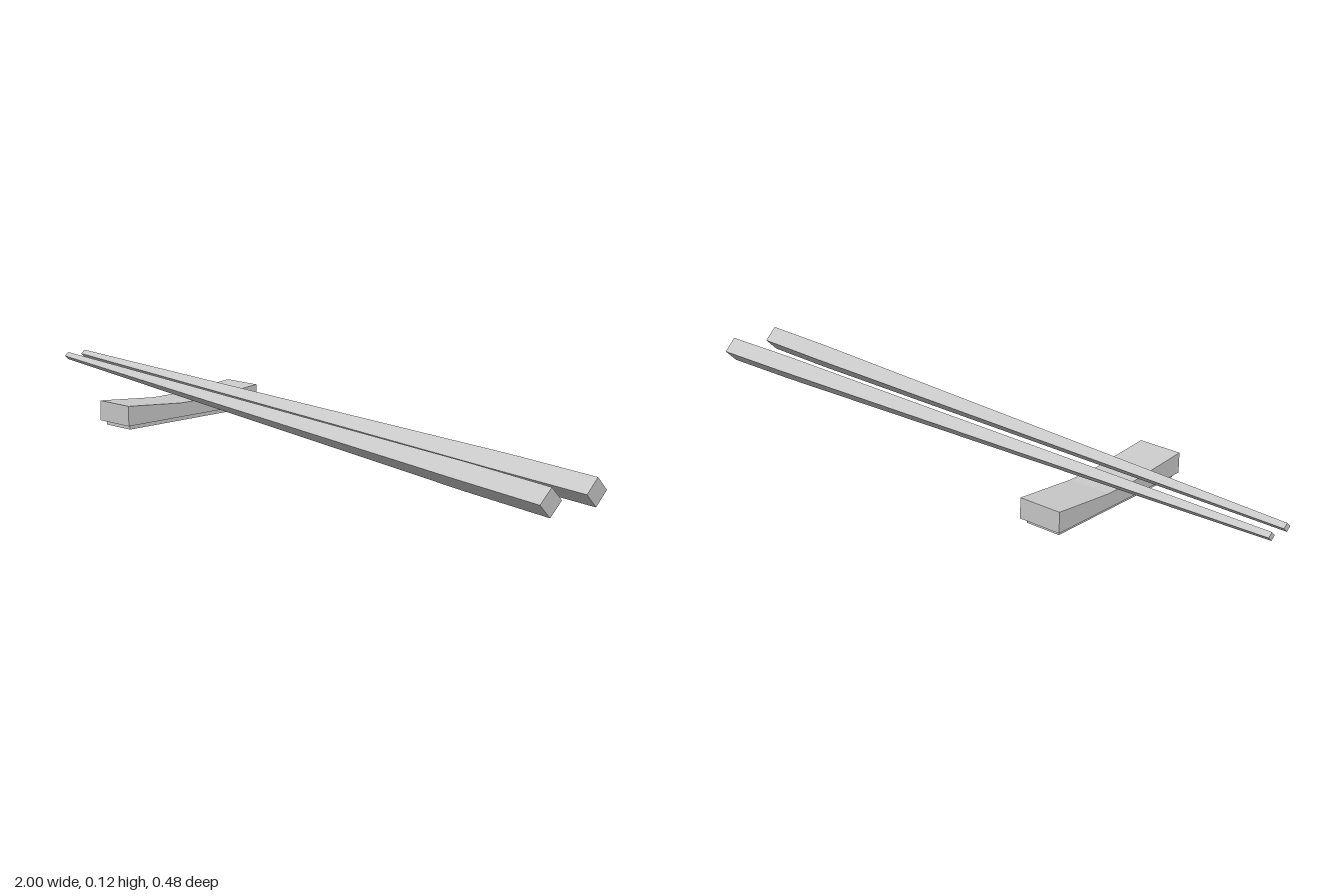
import * as THREE from 'three';

const material = new THREE.MeshStandardMaterial({ color: 0xcccccc, flatShading: true });

// Square stick set on edge: straight handle, then an even taper to the tip
function makeStick(name, handleEnd, tipEnd) {
  const length = handleEnd.distanceTo(tipEnd);
  const profile = [[0, 0], [0.035, 0], [0.035, length * 0.13], [0.011, length], [0, length]]
    .map(([r, y]) => new THREE.Vector2(r, y));
  const geometry = new THREE.LatheGeometry(profile, 4).rotateX(Math.PI / 2);
  const stick = new THREE.Mesh(geometry, material);
  stick.name = name;
  stick.position.copy(handleEnd);
  stick.lookAt(tipEnd);
  return stick;
}

// Rest block with a dipped top, extruded across x
function makeRestBlock() {
  const shape = new THREE.Shape([
    [-0.24, 0.0125], [0.24, 0.0125], [0.24, 0.068], [0.05, 0.052], [-0.05, 0.052], [-0.24, 0.068],
  ].map(([z, y]) => new THREE.Vector2(z, y)));
  const geometry = new THREE.ExtrudeGeometry(shape, { depth: 0.122, bevelEnabled: false });
  geometry.translate(0, 0, -0.061).rotateY(Math.PI / 2);
  const block = new THREE.Mesh(geometry, material);
  block.name = 'restBlock';
  return block;
}

export function createModel() {
  const model = new THREE.Group();
  model.name = 'chopsticksOnRest';

  model.add(
    makeStick('backChopstick', new THREE.Vector3(0.995, 0.035, 0.04), new THREE.Vector3(-0.999, 0.109, -0.084)),
    makeStick('frontChopstick', new THREE.Vector3(0.98, 0.035, 0.19), new THREE.Vector3(-0.999, 0.109, -0.021)),
  );

  // Chopstick rest: block on a slightly inset foot
  const rest = new THREE.Group();
  rest.name = 'chopstickRest';
  rest.position.x = -0.454;
  const foot = new THREE.Mesh(new THREE.BoxGeometry(0.1, 0.0125, 0.454), material);
  foot.name = 'restFoot';
  foot.position.y = 0.00625;
  rest.add(makeRestBlock(), foot);
  model.add(rest);

  return model;
}
